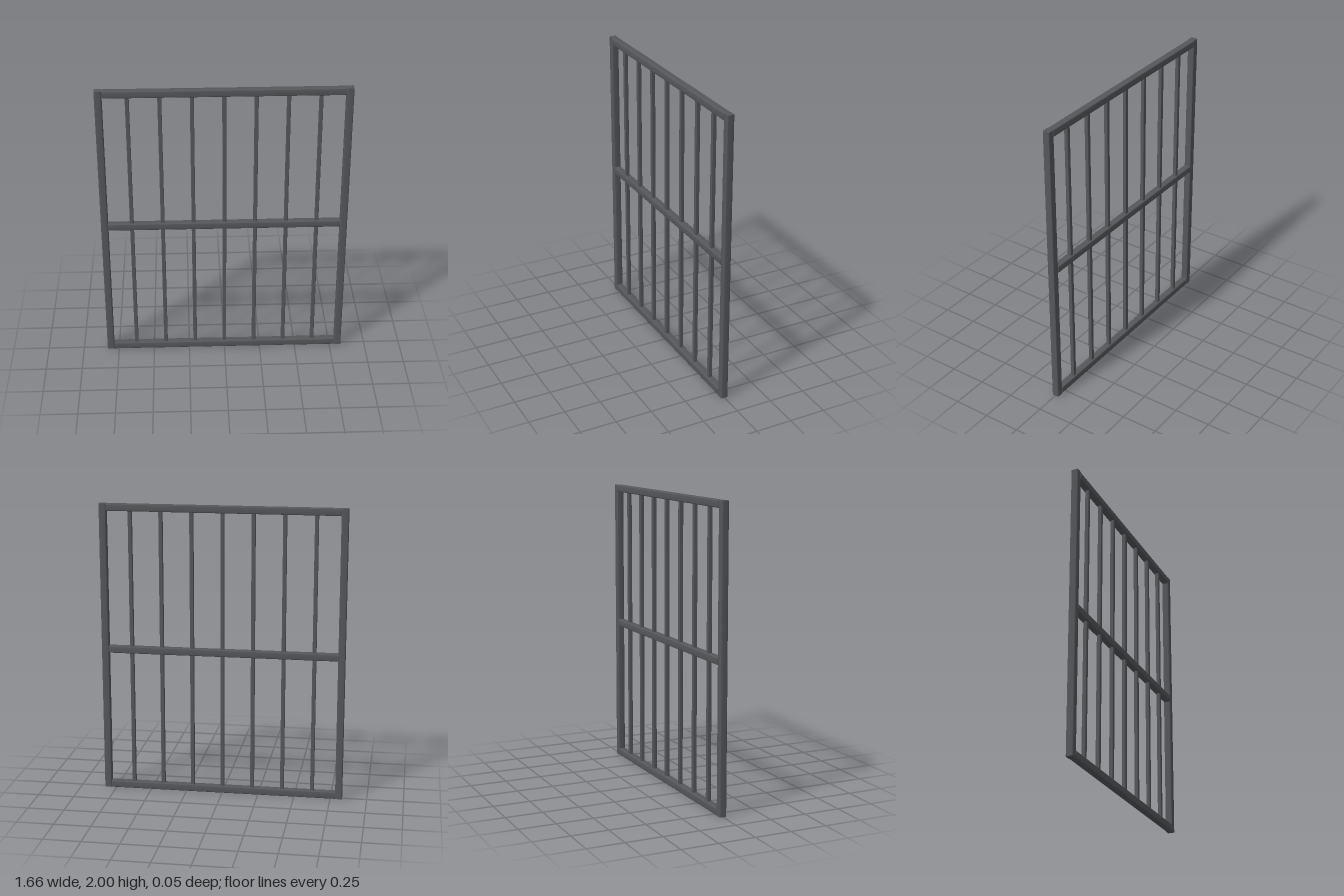
import * as THREE from 'three';
import { toCreasedNormals } from 'three/addons/utils/BufferGeometryUtils.js';

const W = 1.664, H = 2, T = 0.048, BAR = 0.026;

// Square tube with rounded long edges and flat ends, centred, running along y
function tube(size, length, radius) {
  const h = size / 2, c = h - radius;
  const s = new THREE.Shape();
  s.moveTo(h, -c);
  s.lineTo(h, c);
  s.absarc(c, c, radius, 0, Math.PI / 2);
  s.absarc(-c, c, radius, Math.PI / 2, Math.PI);
  s.absarc(-c, -c, radius, Math.PI, Math.PI * 1.5);
  s.absarc(c, -c, radius, Math.PI * 1.5, Math.PI * 2);
  const g = new THREE.ExtrudeGeometry(s, { depth: length, bevelEnabled: false, curveSegments: 4 });
  g.translate(0, 0, -length / 2);
  g.rotateX(-Math.PI / 2);
  return toCreasedNormals(g, 0.6);
}

export function createModel() {
  const group = new THREE.Group();
  group.name = 'barredPanel';
  const steel = new THREE.MeshStandardMaterial({ color: 0x55575a });
  steel.name = 'darkGreySteel';

  const add = (name, geometry, x, y) => {
    const mesh = new THREE.Mesh(geometry, steel);
    mesh.name = name;
    mesh.position.set(x, y, 0);
    group.add(mesh);
  };

  // Upright posts at both sides
  const post = tube(T, H, 0.006);
  add('leftPost', post, (W - T) / 2, H / 2);
  add('rightPost', post, -(W - T) / 2, H / 2);

  // Horizontal rails between the posts
  const rail = tube(T, W - 2 * T, 0.006).rotateZ(Math.PI / 2);
  add('bottomRail', rail, 0, T / 2);
  add('middleRail', rail, 0, H / 2);
  add('topRail', rail, 0, H - T / 2);

  // Seven thin bars in each of the two openings
  const gap = (H - 3 * T) / 2;
  const bar = tube(BAR, gap, 0.003);
  for (let i = -3; i <= 3; i++) {
    add('lowerBar', bar, i * 0.208, T + gap / 2);
    add('upperBar', bar, i * 0.208, H - T - gap / 2);
  }
  return group;
}
